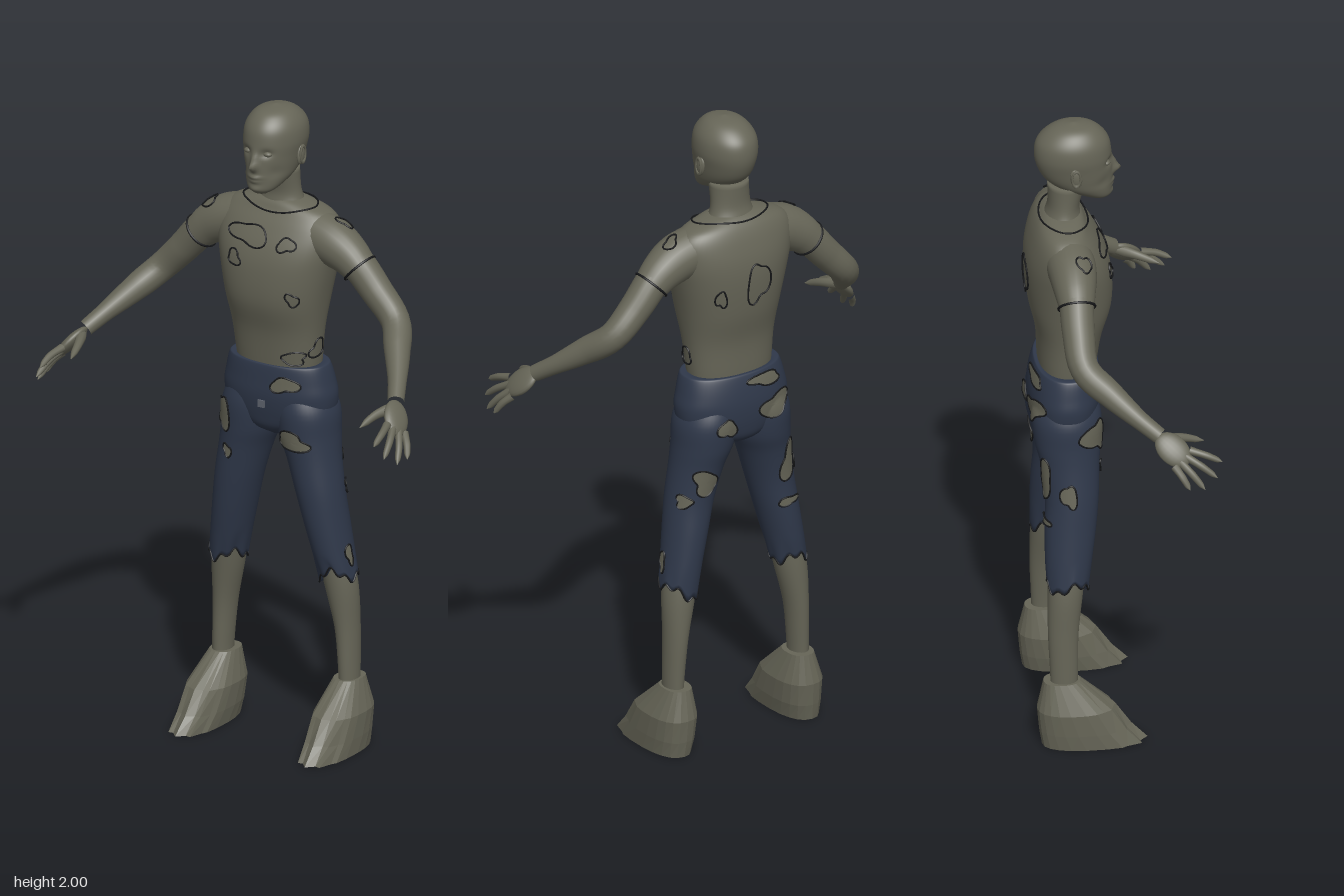
import * as THREE from 'three';

const mat = (name, color) => Object.assign(new THREE.MeshStandardMaterial({ color }), { name });
const skin = mat('weathered skin', 0x666557);
const cloth = mat('navy cloth', 0x2f384a);
const edge = mat('torn edge', 0x17181a);
const metal = mat('button grey', 0x5d626c);
const V = (x, y, z) => new THREE.Vector3(x, y, z);

function add(parent, name, geometry, material) {
  const m = new THREE.Mesh(geometry, material);
  m.name = name;
  parent.add(m);
  return m;
}

// Smooth body through horizontal rings [y, centreX, centreZ, radiusX, radiusZ], bottom to top
function loft(rings, { segs = 40, sub = 5, power = 2, tweak } = {}) {
  const mid = new THREE.CatmullRomCurve3(rings.map(r => V(r[1], r[0], r[2])), false, 'catmullrom');
  const rad = new THREE.CatmullRomCurve3(rings.map(r => V(r[3], 0, r[4])), false, 'catmullrom');
  const rows = (rings.length - 1) * sub, pos = [], idx = [];
  const bend = v => Math.sign(v) * Math.abs(v) ** (2 / power);
  for (let i = 0; i <= rows; i++) {
    const t = i / rows, c = mid.getPoint(t), r = rad.getPoint(t);
    for (let j = 0; j < segs; j++) {
      const a = j / segs * Math.PI * 2;
      const p = V(c.x + r.x * bend(Math.sin(a)), c.y, c.z + r.z * bend(Math.cos(a)));
      if (tweak) tweak(p, a, t, c, j);
      pos.push(p.x, p.y, p.z);
      if (i < rows) {
        const q = i * segs + j, n = i * segs + (j + 1) % segs;
        idx.push(q, n, n + segs, q, n + segs, q + segs);
      }
    }
  }
  // End caps
  for (const [row, ring] of [[0, rings[0]], [rows, rings.at(-1)]]) {
    const k = pos.length / 3;
    pos.push(ring[1], ring[0], ring[2]);
    for (let j = 0; j < segs; j++) {
      const q = row * segs + j, n = row * segs + (j + 1) % segs;
      row ? idx.push(q, n, k) : idx.push(n, q, k);
    }
  }
  const g = new THREE.BufferGeometry();
  g.setAttribute('position', new THREE.Float32BufferAttribute(pos, 3));
  g.setIndex(idx);
  g.computeVertexNormals();
  return g;
}

// Tapered tube along a path
function limb(points, radii, segs = 20, rows = 28) {
  const curve = new THREE.CatmullRomCurve3(points);
  const g = new THREE.TubeGeometry(curve, rows, 1, segs), p = g.attributes.position, v = V();
  for (let i = 0; i <= rows; i++) {
    const c = curve.getPointAt(i / rows), f = i / rows * (radii.length - 1);
    const k = Math.min(Math.floor(f), radii.length - 2);
    const r = THREE.MathUtils.lerp(radii[k], radii[k + 1], f - k);
    for (let j = 0; j <= segs; j++) {
      const n = i * (segs + 1) + j;
      v.fromBufferAttribute(p, n).sub(c).multiplyScalar(r).add(c);
      p.setXYZ(n, v.x, v.y, v.z);
    }
  }
  return g;
}

const seam = (pts, r = 0.003) =>
  new THREE.TubeGeometry(new THREE.CatmullRomCurve3(pts, true), pts.length * 2, r, 5, true);

// Irregular tear laid on a surface, seen from one side; outline only when fill is false
const sides = {
  front: [(u, v) => V(u, v, 2), V(0, 0, -1), 1],
  back: [(u, v) => V(u, v, -2), V(0, 0, 1), -1],
  left: [(u, v) => V(2, v, u), V(-1, 0, 0), -1],
  right: [(u, v) => V(-2, v, u), V(1, 0, 0), 1],
  top: [(u, v) => V(u, 3, v), V(0, -1, 0), -1],
};
function tear(parent, targets, side, u, v, ru, rv, seed, fill, wobble = 1) {
  const [origin, dir, turn] = sides[side], N = 28, R = 5, pos = [], idx = [], rim = [];
  const ray = new THREE.Raycaster();
  let last = null;
  for (let i = 0; i <= R; i++) for (let j = 0; j < N; j++) {
    const a = turn * j / N * Math.PI * 2;
    const k = i / R * (1 + wobble * (0.2 * Math.sin(2 * a + seed) + 0.16 * Math.sin(3 * a + seed * 2.3)));
    const o = origin(u + ru * k * Math.cos(a), v + rv * k * Math.sin(a));
    ray.set(o, dir);
    const hit = ray.intersectObjects(targets, false)[0];
    if (hit) last = hit;
    if (!last) continue;
    const p = hit ? hit.point.clone() : o.clone().addScaledVector(dir, last.distance);
    p.addScaledVector(last.face.normal, 0.004);
    pos.push(p.x, p.y, p.z);
    if (i === R) rim.push(p);
    if (i < R) {
      const q = i * N + j, n = i * N + (j + 1) % N;
      idx.push(q, q + N, n + N, q, n + N, n);
    }
  }
  if (!last) return;
  if (fill) {
    const g = new THREE.BufferGeometry();
    g.setAttribute('position', new THREE.Float32BufferAttribute(pos, 3));
    g.setIndex(idx);
    g.computeVertexNormals();
    add(parent, 'tearPatch', g, skin);
  }
  add(parent, 'tearOutline', seam(rim, 0.0028), edge);
}

export function createModel() {
  const model = new THREE.Group();
  model.name = 'figure';

  // Head with sculpted brow, eye sockets, nose and lips
  const bumps = [ // x, y, width, height, push
    [-0.034, 1.876, 0.016, 0.012, -0.01], [0.034, 1.876, 0.016, 0.012, -0.01],
    [0, 1.835, 0.011, 0.014, 0.024], [0, 1.858, 0.009, 0.018, 0.012],
    [0, 1.8, 0.02, 0.006, 0.008], [0, 1.787, 0.018, 0.005, 0.006], [0, 1.762, 0.02, 0.01, 0.005],
    [-0.055, 1.815, 0.016, 0.02, -0.006], [0.055, 1.815, 0.016, 0.02, -0.006],
  ];
  const span = (y, w, front, back) => [y, 0, (front + back) / 2, w, (front - back) / 2];
  const head = new THREE.Group();
  head.name = 'head';
  model.add(head);
  add(head, 'skull', loft([
    span(1.745, 0.022, -0.012, -0.05), span(1.76, 0.045, 0.001, -0.09), span(1.79, 0.066, 0.003, -0.16),
    span(1.82, 0.076, 0.004, -0.2), span(1.86, 0.084, 0.003, -0.222), span(1.9, 0.09, 0.001, -0.23),
    span(1.94, 0.086, -0.006, -0.224), span(1.97, 0.07, -0.026, -0.2), span(1.99, 0.045, -0.056, -0.165),
    span(2, 0.004, -0.108, -0.116)], {
    segs: 80, sub: 7, tweak(p, a, t, c) {
      if (p.z < c.z) return;
      for (const [x, y, w, h, d] of bumps) p.z += d * Math.exp(-(((p.x - x) / w) ** 2) - ((p.y - y) / h) ** 2);
    } }), skin);
  for (const s of [-1, 1]) {
    add(head, 'ear', new THREE.SphereGeometry(1, 14, 10).scale(0.009, 0.031, 0.018)
      .rotateX(-0.2).translate(s * 0.088, 1.855, -0.115), skin);
    add(head, 'earFold', new THREE.TorusGeometry(0.017, 0.004, 6, 16).scale(0.75, 1.5, 1)
      .rotateY(Math.PI / 2).translate(s * 0.095, 1.857, -0.115), skin);
    add(head, 'eye', new THREE.SphereGeometry(0.012, 14, 10).scale(1.2, 0.7, 1)
      .translate(s * 0.034, 1.874, -0.018), skin);
  }
  add(model, 'neck', loft([[1.65, 0, -0.148, 0.1, 0.06], [1.69, 0, -0.146, 0.076, 0.055],
    [1.73, 0, -0.142, 0.064, 0.048], [1.8, 0, -0.132, 0.062, 0.058]]), skin);

  // Thin shirt over the torso
  const torso = add(model, 'shirtBody', loft([[1.14, 0, -0.135, 0.13, 0.08], [1.2, 0, -0.133, 0.138, 0.087],
    [1.3, 0, -0.128, 0.148, 0.098], [1.4, 0, -0.125, 0.165, 0.123], [1.5, 0, -0.13, 0.186, 0.129],
    [1.57, 0, -0.137, 0.2, 0.12], [1.63, 0, -0.145, 0.2, 0.098], [1.67, 0, -0.15, 0.17, 0.076],
    [1.693, 0, -0.147, 0.105, 0.06], [1.705, 0, -0.145, 0.055, 0.045]], { segs: 56, power: 2.3 }), skin);
  const shirt = [torso];

  for (const s of [-1, 1]) {
    const P = (x, y, z) => V(s * x, y, z), label = s > 0 ? 'left' : 'right';
    // Arm, sleeve and cuff
    const arm = new THREE.Group();
    arm.name = label + 'Arm';
    model.add(arm);
    add(arm, 'armSkin', limb([P(0.2, 1.595, -0.135), P(0.27, 1.545, -0.138), P(0.34, 1.468, -0.14),
      P(0.415, 1.39, -0.13), P(0.468, 1.33, -0.06), P(0.515, 1.275, 0.01), P(0.553, 1.228, 0.075)],
      [0.055, 0.052, 0.05, 0.047, 0.044, 0.043, 0.036, 0.028, 0.025]), skin);
    shirt.push(add(arm, 'sleeve', limb([P(0.1, 1.615, -0.145), P(0.19, 1.59, -0.138), P(0.245, 1.56, -0.138),
      P(0.285, 1.525, -0.138)], [0.05, 0.073, 0.073, 0.068, 0.06, 0.052], 24), skin));
    const cuff = new THREE.TorusGeometry(0.0545, 0.004, 6, 32);
    cuff.applyQuaternion(new THREE.Quaternion().setFromUnitVectors(V(0, 0, 1), P(0.72, -0.69, 0).normalize()));
    const c = P(0.282, 1.528, -0.138);
    add(arm, 'cuffEdge', cuff.translate(c.x, c.y, c.z), edge);

    // Hand: flat palm, four fingers and a thumb
    const along = P(0.05, -0.07, 0.08).normalize(), across = P(-0.394, 0.472, 0.787);
    across.addScaledVector(along, -across.dot(along)).normalize();
    const palm = new THREE.SphereGeometry(1, 20, 14).scale(0.044, 0.062, 0.018);
    palm.applyMatrix4(new THREE.Matrix4().makeBasis(across, along, across.clone().cross(along))
      .setPosition(P(0.578, 1.192, 0.112)));
    add(arm, 'palm', palm, skin);
    const knuckle = P(0.594, 1.17, 0.137);
    [[0.595, 1.15, 0.257], [0.62, 1.11, 0.24], [0.641, 1.085, 0.2], [0.647, 1.09, 0.155]].forEach((e, i) => {
      const k = knuckle.clone().addScaledVector(across, 0.033 - i * 0.022), tip = P(...e);
      const bent = k.clone().lerp(tip, 0.5).add(P(0.004, 0.005, 0));
      add(arm, 'finger', limb([k, bent, tip], [0.013, 0.012, 0.011, 0.011, 0.01, 0.009, 0.001], 10, 14), skin);
    });
    add(arm, 'thumb', limb([P(0.558, 1.215, 0.09), P(0.532, 1.205, 0.145), P(0.515, 1.18, 0.212)],
      [0.016, 0.017, 0.014, 0.012, 0.01, 0.001], 10, 14), skin);

    // Shin and faceted foot with toe ridges
    add(model, label + 'Shin', loft([[0.17, s * 0.226, -0.168, 0.028, 0.04], [0.25, s * 0.224, -0.169, 0.03, 0.042],
      [0.37, s * 0.217, -0.17, 0.036, 0.046], [0.5, s * 0.201, -0.162, 0.05, 0.053],
      [0.62, s * 0.18, -0.15, 0.05, 0.055]], { segs: 28 }), skin);
    const foot = loft([[0, s * 0.231, -0.078, 0.064, 0.158], [0.05, s * 0.228, -0.106, 0.069, 0.138],
      [0.12, s * 0.226, -0.133, 0.071, 0.117], [0.21, s * 0.221, -0.175, 0.041, 0.055]], {
      segs: 22, sub: 1, power: 2.4, tweak(p, a, t, c, j) {
        if (Math.cos(a) > 0.2 && j % 2) p.z -= 0.018 * (1 - t);
      } }).toNonIndexed();
    foot.computeVertexNormals();
    add(model, label + 'Foot', foot, skin);
  }

  // Cropped trousers with ragged hems
  const trousers = new THREE.Group();
  trousers.name = 'trousers';
  model.add(trousers);
  const pants = [add(trousers, 'hips', loft([[0.955, 0, -0.145, 0.02, 0.04], [0.985, 0, -0.145, 0.1, 0.085],
    [1.03, 0, -0.145, 0.17, 0.1], [1.09, 0, -0.143, 0.186, 0.107], [1.14, 0, -0.141, 0.178, 0.104],
    [1.185, 0, -0.137, 0.166, 0.097], [1.195, 0, -0.136, 0.155, 0.09], [1.19, 0, -0.135, 0.12, 0.07]],
    { segs: 56, power: 2.25 }), cloth)];
  for (const s of [-1, 1]) {
    const leg = loft([[0.53, s * 0.197, -0.155, 0.056, 0.062], [0.6, s * 0.183, -0.15, 0.06, 0.07],
      [0.7, s * 0.163, -0.142, 0.066, 0.077], [0.8, s * 0.143, -0.135, 0.073, 0.08],
      [0.9, s * 0.12, -0.138, 0.081, 0.088], [0.97, s * 0.102, -0.143, 0.092, 0.099],
      [1.05, s * 0.093, -0.144, 0.095, 0.103], [1.12, s * 0.08, -0.143, 0.075, 0.085]], {
      segs: 48, tweak(p, a, t) {
        const fade = Math.max(0, 1 - t * 6);
        p.y += fade * (0.014 * Math.sin(3 * a + s) + 0.01 * Math.sin(8 * a) + (s > 0 ? 0.022 * Math.cos(a - 0.5) : 0));
      } });
    pants.push(add(trousers, s > 0 ? 'leftLeg' : 'rightLeg', leg, cloth));
    const hem = Array.from({ length: 48 }, (_, j) => V().fromBufferAttribute(leg.attributes.position, j));
    add(trousers, 'hemEdge', seam(hem), edge);
  }
  add(trousers, 'button', new THREE.BoxGeometry(0.022, 0.022, 0.008).translate(0, 1.07, -0.035), metal);

  // Tears showing skin through the trousers: side, u, v, half sizes, seed
  [['front', 0.075, 1.14, 0.038, 0.026, 1], ['front', -0.15, 1.005, 0.03, 0.055, 2],
    ['front', -0.13, 0.89, 0.013, 0.02, 3], ['front', 0.1, 0.965, 0.055, 0.026, 4],
    ['left', -0.185, 0.81, 0.022, 0.018, 5], ['left', -0.14, 0.61, 0.014, 0.03, 6],
    ['right', -0.15, 0.83, 0.02, 0.04, 2], ['back', -0.09, 1.075, 0.055, 0.035, 3],
    ['back', 0.08, 1.04, 0.03, 0.03, 1], ['back', 0.14, 0.87, 0.04, 0.035, 5],
    ['back', -0.155, 0.86, 0.028, 0.06, 4], ['back', -0.16, 0.73, 0.03, 0.015, 2],
    ['back', -0.06, 1.165, 0.06, 0.018, 6]]
    .forEach(a => tear(trousers, pants, ...a, true));

  // Outlined tears, neckline and shoulder holes of the shirt
  [['front', -0.04, 1.6, 0.06, 0.032, 2], ['front', -0.08, 1.525, 0.026, 0.02, 4],
    ['front', 0.09, 1.59, 0.024, 0.022, 1], ['front', 0.115, 1.425, 0.016, 0.02, 3],
    ['front', 0.095, 1.225, 0.035, 0.018, 5], ['back', -0.02, 1.5, 0.035, 0.07, 2],
    ['back', 0.1, 1.47, 0.014, 0.03, 1], ['left', -0.12, 1.25, 0.03, 0.025, 4],
    ['top', 0.22, -0.15, 0.022, 0.018, 3], ['top', -0.23, -0.11, 0.025, 0.018, 5]]
    .forEach(a => tear(model, shirt, ...a, false));
  tear(model, shirt, 'top', 0, -0.142, 0.125, 0.07, 0, false, 0.1);
  return model;
}
